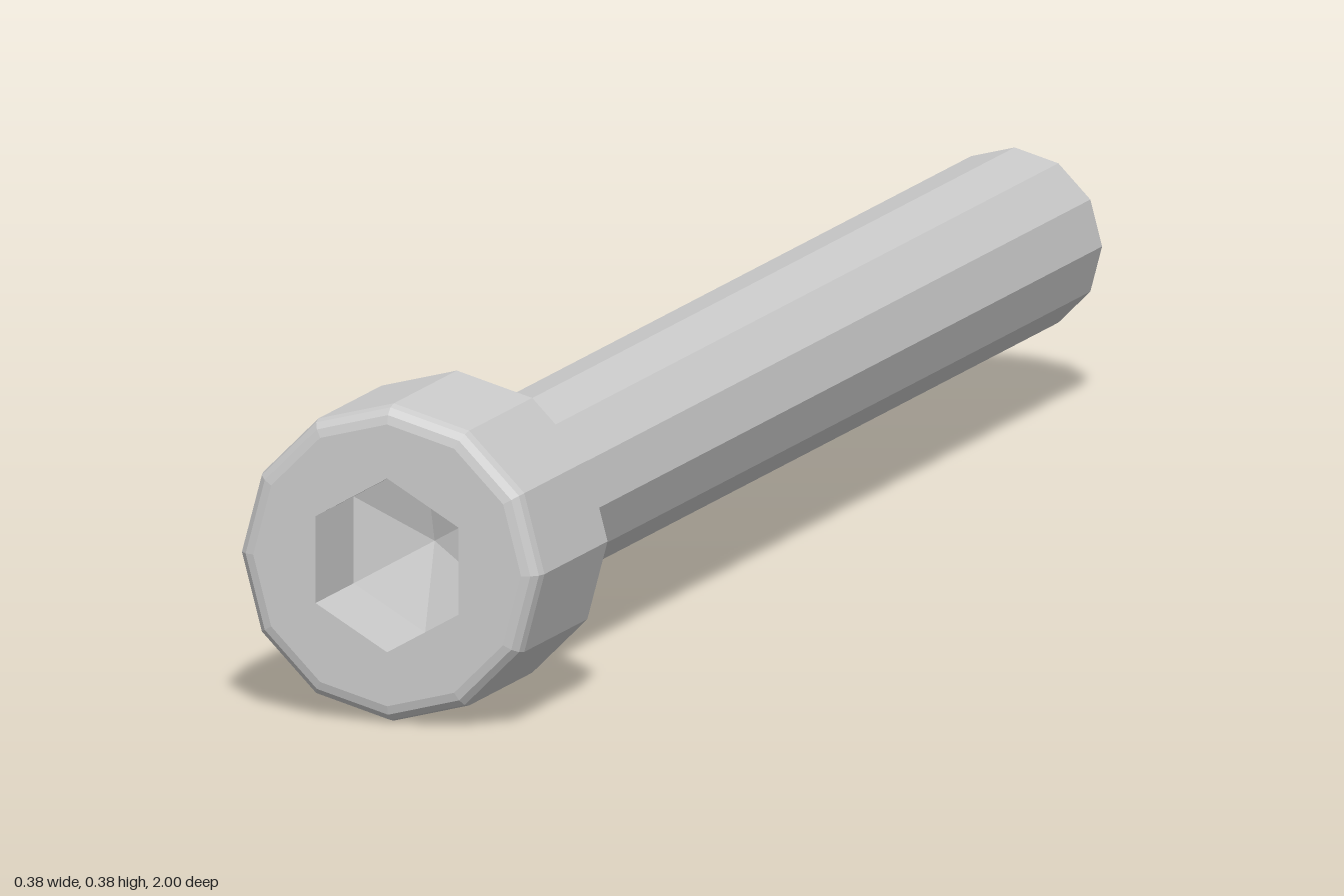
import * as THREE from 'three';

const AXIS_Y = 0.189;
const HEAD_R = 0.188, HEAD_BACK = 0.78, FILLET = 0.021;
const SHANK_R = 0.109;
const HEX_R = 0.103, HEX_FLOOR = 0.88, HEX_TIP = 0.85;

const material = new THREE.MeshStandardMaterial({ color: 0xcccccc, flatShading: true });

// Turned part along z; profile points are [radius, z], running back to front for outer faces
function turned(name, profile, sides) {
  const geometry = new THREE.LatheGeometry(profile.map(([r, z]) => new THREE.Vector2(r, z)), sides);
  geometry.rotateX(Math.PI / 2);
  const mesh = new THREE.Mesh(geometry, material);
  mesh.name = name;
  return mesh;
}

// Corners of a regular polygon with one corner pointing up
function polygon(radius, sides) {
  return Array.from({ length: sides }, (_, i) => {
    const a = Math.PI / 2 + (i / sides) * Math.PI * 2;
    return new THREE.Vector2(radius * Math.cos(a), radius * Math.sin(a));
  });
}

export function createModel() {
  const bolt = new THREE.Group();
  bolt.name = 'socketHeadBolt';

  // Shank with a chamfered tip
  bolt.add(turned('shank', [[0, -1], [0.093, -1], [SHANK_R, -0.98], [SHANK_R, HEAD_BACK]], 12));

  // Head: flat underside, straight side, rounded front rim
  const headProfile = [[SHANK_R, HEAD_BACK], [HEAD_R, HEAD_BACK]];
  for (let i = 0; i <= 3; i++) {
    const a = (i / 3) * Math.PI / 2;
    headProfile.push([HEAD_R - FILLET + FILLET * Math.cos(a), 1 - FILLET + FILLET * Math.sin(a)]);
  }
  bolt.add(turned('head', headProfile, 12));

  // Front face with the hexagonal opening
  const faceShape = new THREE.Shape(polygon(HEAD_R - FILLET, 12));
  faceShape.holes.push(new THREE.Path(polygon(HEX_R, 6)));
  const face = new THREE.Mesh(new THREE.ShapeGeometry(faceShape), material);
  face.name = 'headFace';
  face.position.z = 1;
  bolt.add(face);

  // Hexagonal socket with a shallow pointed floor
  bolt.add(turned('hexSocket', [[HEX_R, 1], [HEX_R, HEX_FLOOR], [0, HEX_TIP]], 6));

  bolt.children.forEach((part) => { part.position.y = AXIS_Y; });
  return bolt;
}
